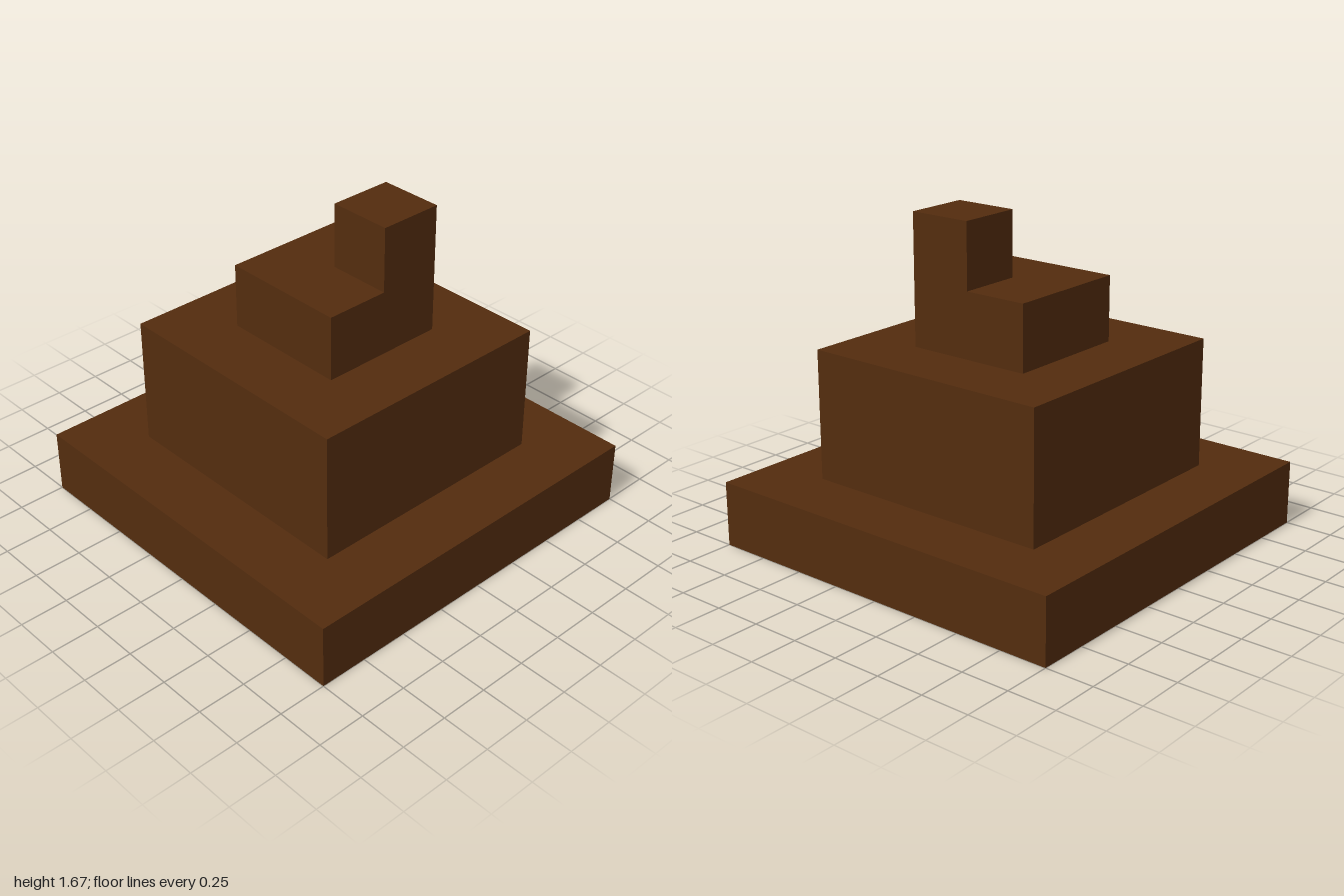
import * as THREE from 'three';

export function createModel() {
  const group = new THREE.Group();
  const brown = new THREE.MeshStandardMaterial({ color: 0x532c0e });
  brown.name = 'brown';

  const U = 1 / 3; // every dimension is a whole number of these units

  // Adds a square block with its base at height y, centred on (c, c)
  function block(name, width, height, y, c = 0) {
    const mesh = new THREE.Mesh(new THREE.BoxGeometry(width * U, height * U, width * U), brown);
    mesh.position.set(c * U, (y + height / 2) * U, c * U);
    mesh.name = name;
    group.add(mesh);
  }

  // Stepped tiers, bottom to top
  block('baseSlab', 6, 1, 0);
  block('middleBlock', 4, 2, 1);
  block('upperStep', 2, 1, 3);
  // Small cube on the front left corner of the upper step
  block('cornerCube', 1, 1, 4, 0.5);

  return group;
}
